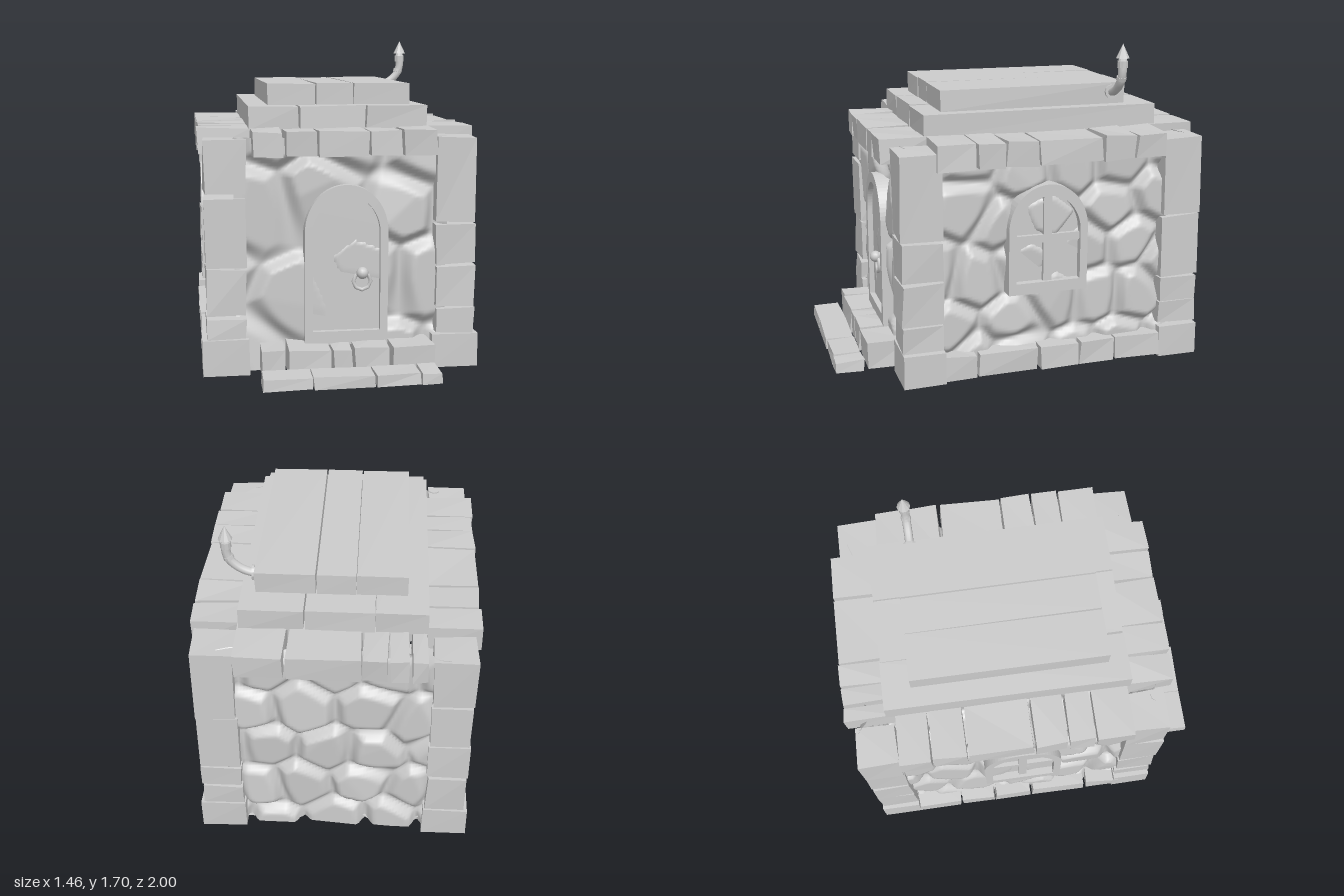
import * as THREE from 'three';

let seed = 7;
const rand = () => {
  seed = (seed + 0x6d2b79f5) | 0;
  let t = Math.imul(seed ^ (seed >>> 15), 1 | seed);
  t = (t + Math.imul(t ^ (t >>> 7), 61 | t)) ^ t;
  return ((t ^ (t >>> 14)) >>> 0) / 4294967296;
};

const flat = new THREE.MeshStandardMaterial({ color: 0xcccccc, flatShading: true });
const smooth = new THREE.MeshStandardMaterial({ color: 0xcccccc });
const thin = new THREE.MeshStandardMaterial({ color: 0xcccccc, side: THREE.DoubleSide });

function add(parent, name, geometry, material = flat, x = 0, y = 0, z = 0) {
  const mesh = new THREE.Mesh(geometry, material);
  mesh.name = name;
  mesh.position.set(x, y, z);
  parent.add(mesh);
  return mesh;
}

function group(parent, name) {
  const g = new THREE.Group();
  g.name = name;
  parent.add(g);
  return g;
}

// Hewn block: a box whose eight corners are pulled in by small random amounts
function block(parent, name, min, max, rough = 0.014) {
  const geo = new THREE.BoxGeometry(1, 1, 1);
  const pos = geo.attributes.position;
  const pull = Array.from({ length: 24 }, () => rand() * rough);
  for (let i = 0; i < pos.count; i++) {
    const p = [pos.getX(i), pos.getY(i), pos.getZ(i)];
    const corner = (p[0] > 0 ? 1 : 0) + (p[1] > 0 ? 2 : 0) + (p[2] > 0 ? 4 : 0);
    const q = p.map((s, k) => (s > 0 ? max[k] - pull[corner * 3 + k] : min[k] + pull[corner * 3 + k]));
    pos.setXYZ(i, ...q);
  }
  geo.computeVertexNormals();
  return add(parent, name, geo);
}

// Row of blocks cut along one axis (0 = x, 1 = y, 2 = z)
function row(parent, name, axis, cuts, min, max, rough) {
  const g = group(parent, name);
  for (let i = 0; i < cuts.length - 1; i++) {
    const a = [...min], b = [...max];
    a[axis] = cuts[i];
    b[axis] = cuts[i + 1];
    block(g, name + 'Block', a, b, rough);
  }
  return g;
}

// Rubble surface: a fine plane raised into cells, with grooves between the stones
function rubble(parent, name, w, h, cell, depth, tilt) {
  const stones = [];
  const nx = Math.ceil(w / cell) + 1, ny = Math.ceil(h / cell) + 1;
  for (let j = -1; j <= ny; j++) {
    for (let i = -1; i <= nx; i++) {
      stones.push({
        x: -w / 2 + (i + (j % 2 ? 0.5 : 0) + (rand() - 0.5) * 0.6) * cell,
        y: -h / 2 + (j + (rand() - 0.5) * 0.6) * cell,
        tx: (rand() - 0.5) * tilt, ty: (rand() - 0.5) * tilt, lift: rand() * 0.3 + 0.7,
      });
    }
  }
  const geo = new THREE.PlaneGeometry(w, h, Math.round(w / 0.016), Math.round(h / 0.016));
  const pos = geo.attributes.position;
  for (let k = 0; k < pos.count; k++) {
    const x = pos.getX(k), y = pos.getY(k);
    let d1 = 9, d2 = 9, near = null;
    for (const s of stones) {
      const d = Math.hypot(x - s.x, y - s.y);
      if (d < d1) { d2 = d1; d1 = d; near = s; } else if (d < d2) d2 = d;
    }
    const rise = THREE.MathUtils.smoothstep(d2 - d1, 0, cell * 0.35);
    const lean = (x - near.x) * near.tx + (y - near.y) * near.ty;
    pos.setZ(k, Math.min(depth, rise * (depth * near.lift + lean)));
  }
  geo.computeVertexNormals();
  return add(parent, name, geo, thin);
}

// Round-headed outline used by the door and windows
function arch(half, bottom, top, Kind = THREE.Shape) {
  const s = new Kind();
  const rise = half * 1.12;
  s.moveTo(-half, bottom);
  s.lineTo(half, bottom);
  s.lineTo(half, top - rise);
  s.absellipse(0, top - rise, half, rise, 0, Math.PI, false);
  s.closePath();
  return s;
}

function archFrame(parent, name, outer, inner, depth, recess) {
  const shape = arch(...outer);
  shape.holes.push(arch(...inner, THREE.Path));
  const opts = { bevelEnabled: false, curveSegments: 16 };
  add(parent, name + 'Frame', new THREE.ExtrudeGeometry(shape, { ...opts, depth }), smooth, 0, 0, -depth);
  const panel = new THREE.ExtrudeGeometry(arch(...inner), { ...opts, depth: depth - recess });
  add(parent, name + 'Panel', panel, smooth, 0, 0, -depth);
}

export function createModel() {
  const model = new THREE.Group();
  model.name = 'stoneHut';

  // Rubble walls and underside
  const walls = group(model, 'walls');
  rubble(walls, 'frontWall', 1.1, 1.2, 0.4, 0.06, 0.35).position.set(0, 0.62, 0.61);
  const back = rubble(walls, 'backWall', 1.14, 1.2, 0.27, 0.06, 0.2);
  back.position.set(0, 0.62, -0.875);
  back.rotation.y = Math.PI;
  for (const s of [1, -1]) {
    const side = rubble(walls, s > 0 ? 'leftWall' : 'rightWall', 1.36, 1.14, 0.27, 0.06, 0.2);
    side.position.set(s * 0.615, 0.62, -0.13);
    side.rotation.y = s * Math.PI / 2;
  }
  const floor = rubble(walls, 'underside', 1.12, 1.52, 0.28, 0.045, 0.12);
  floor.position.set(0, 0.055, -0.13);
  floor.rotation.x = Math.PI / 2;

  // Corner pillars of stacked blocks on wider foot stones
  const stacks = [
    [0.18, 0.32, 0.55, 0.77, 1.22],
    [0.19, 0.31, 0.56, 0.93, 1.22],
    [0.18, 0.31, 0.45, 0.8, 1.22],
    [0.18, 0.43, 0.66, 0.93, 1.22],
  ];
  let n = 0;
  for (const [z0, z1] of [[0.465, 0.69], [-0.955, -0.73]]) {
    for (const s of [1, -1]) {
      const cuts = stacks[n++];
      const span = (a, b) => (s > 0 ? [a, b] : [-b, -a]);
      const [x0, x1] = span(0.485, 0.705);
      const [f0, f1] = span(0.475, 0.722);
      const pillar = row(model, 'pillar', 1, cuts, [x0, 0, z0], [x1, 0, z1]);
      block(pillar, 'pillarFoot', [f0, 0, z0], [f1, cuts[0], z1], 0.006);
    }
  }

  // Side courses: footing and eaves
  for (const s of [1, -1]) {
    const span = (a, b) => (s > 0 ? [a, b] : [-b, -a]);
    const [b0, b1] = span(0.48, 0.725);
    const [e0, e1] = span(0.45, 0.73);
    row(model, 'sideFooting', 2, [-0.74, -0.47, -0.265, -0.04, 0.295, 0.5], [b0, 0.012, 0], [b1, 0.15, 0]);
    row(model, 'sideEaves', 2, [-0.74, -0.56, -0.375, -0.03, 0.15, 0.295, 0.5], [e0, 1.12, 0], [e1, 1.262, 0]);
  }

  // Front and back eaves
  row(model, 'frontEaves', 0, [-0.465, -0.3, -0.13, 0.13, 0.3, 0.485], [0, 1.12, 0.47], [0, 1.262, 0.75]);
  row(model, 'backEaves', 0, [-0.465, -0.375, -0.27, -0.14, 0.23, 0.485], [0, 1.12, -1.0], [0, 1.262, -0.72]);

  // Stepped roof slabs
  row(model, 'lowerRoof', 0, [-0.465, -0.2, 0.15, 0.475], [0, 1.245, -0.775], [0, 1.372, 0.512], 0.008);
  row(model, 'upperRoof', 0, [-0.36, -0.1, 0.1, 0.405], [0, 1.365, -0.625], [0, 1.482, 0.405], 0.006);

  // Door steps
  row(model, 'upperStep', 0, [-0.435, -0.3, -0.07, 0.04, 0.23, 0.46], [0, 0.018, 0.58], [0, 0.168, 0.835]);
  row(model, 'lowerStep', 0, [-0.435, -0.19, 0.12, 0.35, 0.46], [0, 0.012, 0.84], [0, 0.08, 1.0], 0.01);

  // Arched door with ring knocker
  const door = group(model, 'door');
  door.position.set(0.02, 0, 0.698);
  archFrame(door, 'door', [0.215, 0.15, 0.98], [0.175, 0.22, 0.925], 0.12, 0.03);
  add(door, 'knockerPlate', new THREE.CylinderGeometry(0.02, 0.025, 0.03, 8), smooth, 0.08, 0.525, -0.018).rotation.x = Math.PI / 2;
  add(door, 'knockerKnob', new THREE.SphereGeometry(0.031, 14, 10), smooth, 0.08, 0.525, 0.008);
  add(door, 'knockerRing', new THREE.TorusGeometry(0.045, 0.01, 8, 8), smooth, 0.08, 0.48, -0.005);

  // Arched side windows with crossed glazing bars
  for (const s of [1, -1]) {
    const win = group(model, s > 0 ? 'leftWindow' : 'rightWindow');
    win.position.set(s * 0.703, 0, -0.09);
    win.rotation.y = s * Math.PI / 2;
    archFrame(win, 'window', [0.215, 0.44, 1.02], [0.175, 0.5, 0.96], 0.12, 0.04);
    add(win, 'uprightBar', new THREE.BoxGeometry(0.045, 0.46, 0.03), flat, 0, 0.73, -0.032);
    add(win, 'crossBar', new THREE.BoxGeometry(0.35, 0.042, 0.03), flat, 0, 0.73, -0.032);
  }

  // Bent stove pipe with flange, collars and pointed cap
  const pipe = group(model, 'stovePipe');
  pipe.position.z = -0.545;
  const path = new THREE.CatmullRomCurve3([
    [0.38, 1.43], [0.43, 1.435], [0.485, 1.46], [0.53, 1.505], [0.545, 1.55], [0.545, 1.6],
  ].map(([x, y]) => new THREE.Vector3(x, y, 0)));
  add(pipe, 'pipe', new THREE.TubeGeometry(path, 18, 0.023, 10), smooth);
  add(pipe, 'flange', new THREE.CylinderGeometry(0.038, 0.038, 0.014, 12), flat, 0.415, 1.433, 0).rotation.z = Math.PI / 2;
  const elbow = add(pipe, 'elbowCollar', new THREE.CylinderGeometry(0.027, 0.027, 0.02, 10), flat, 0.535, 1.52, 0);
  elbow.rotation.z = -0.35;
  add(pipe, 'topCollar', new THREE.CylinderGeometry(0.028, 0.028, 0.035, 10), flat, 0.545, 1.595, 0);
  add(pipe, 'neck', new THREE.CylinderGeometry(0.016, 0.026, 0.03, 10), flat, 0.545, 1.622, 0);
  add(pipe, 'cap', new THREE.ConeGeometry(0.036, 0.075, 10), flat, 0.545, 1.665, 0);

  return model;
}
